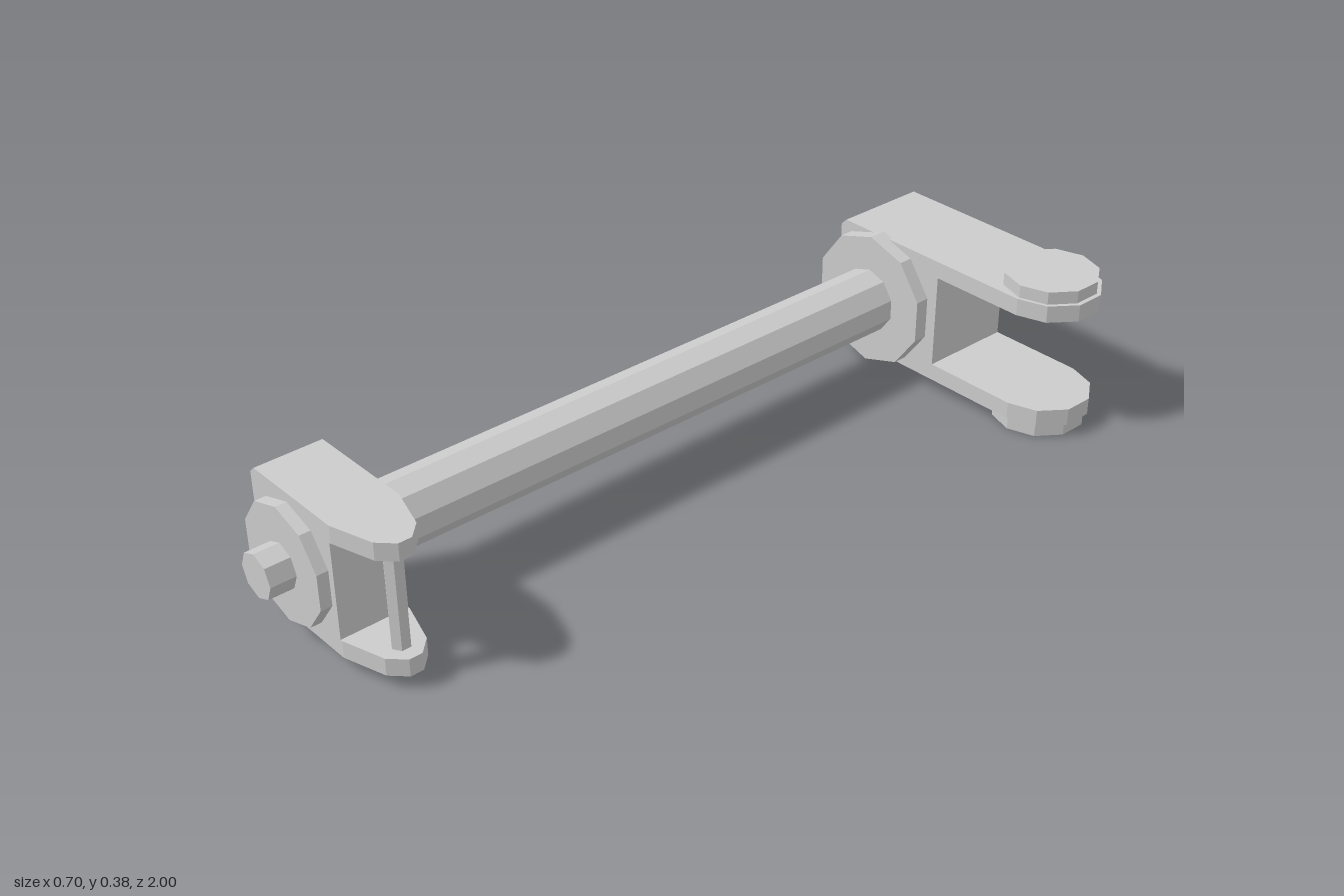
import * as THREE from 'three';

const material = new THREE.MeshStandardMaterial({ color: 0xcccccc, flatShading: true });
const AXIS_X = -0.193, AXIS_Y = 0.192;   // centre line of the shaft
const BOTTOM = 0.033, TOP = 0.352, ARM = 0.042, BACK = -0.326, CHAMFER = 0.015;

function add(parent, name, geometry) {
  const mesh = new THREE.Mesh(geometry, material);
  mesh.name = name;
  parent.add(mesh);
}

// Faceted cylinder along z, on the shaft's centre line
function alongZ(radius, z0, z1, sides) {
  return new THREE.CylinderGeometry(radius, radius, z1 - z0, sides)
    .rotateX(Math.PI / 2).translate(AXIS_X, AXIS_Y, (z0 + z1) / 2);
}

// Faceted upright cylinder
function upright(radius, x, z, y0, y1, sides) {
  return new THREE.CylinderGeometry(radius, radius, y1 - y0, sides)
    .translate(x, (y0 + y1) / 2, z);
}

function extrude(points, depth) {
  const shape = new THREE.Shape(points.map(([x, y]) => new THREE.Vector2(x, y)));
  return new THREE.ExtrudeGeometry(shape, { depth, bevelEnabled: false });
}

// Fork: solid block with chamfered back corners and two flat arms.
// tip lists [x, half width] from the arm's straight edge to its end.
function fork(name, z, halfWidth, mouth, tip) {
  const group = new THREE.Group();
  group.name = name;
  const block = [
    [BACK, BOTTOM + CHAMFER], [BACK + CHAMFER, BOTTOM], [mouth, BOTTOM],
    [mouth, TOP], [BACK + CHAMFER, TOP], [BACK, TOP - CHAMFER],
  ];
  add(group, 'forkBlock', extrude(block, halfWidth * 2).translate(0, 0, z - halfWidth));

  const side = [[mouth, halfWidth], ...tip];
  const outline = [
    ...side.map(([x, w]) => [x, -w]),
    ...side.map(([x, w]) => [x, w]).reverse(),
  ];
  for (const [armName, y] of [['lowerArm', BOTTOM], ['upperArm', TOP - ARM]]) {
    add(group, armName, extrude(outline, ARM).rotateX(-Math.PI / 2).translate(0, y, z));
  }
  return group;
}

export function createModel() {
  const model = new THREE.Group();
  model.name = 'forkedShaft';

  // Shaft with its collars and end bolt
  add(model, 'shaft', alongZ(0.08, -0.74, 0.76, 10));
  add(model, 'rearCollar', alongZ(0.168, -0.77, -0.725, 10));
  add(model, 'frontCollar', alongZ(0.138, 0.9, 0.94, 10));
  add(model, 'endBolt', alongZ(0.053, 0.93, 1, 8));

  // Large rear fork with round pads outside both arms
  const rear = fork('rearFork', -0.88, 0.12, -0.005, [[0.237, 0.12], [0.307, 0.097], [0.352, 0.037]]);
  add(rear, 'lowerPad', upright(0.112, 0.235, -0.88, 0, BOTTOM, 10));
  add(rear, 'upperPad', upright(0.112, 0.235, -0.88, TOP, 0.383, 10));
  model.add(rear);

  // Small front fork with a thin pin between the tapered arms
  const front = fork('frontFork', 0.832, 0.081, -0.045, [[-0.04, 0.081], [0.063, 0.05], [0.097, 0.016]]);
  add(front, 'pin', upright(0.022, 0.047, 0.832, BOTTOM + ARM, TOP - ARM, 6));
  model.add(front);

  return model;
}
